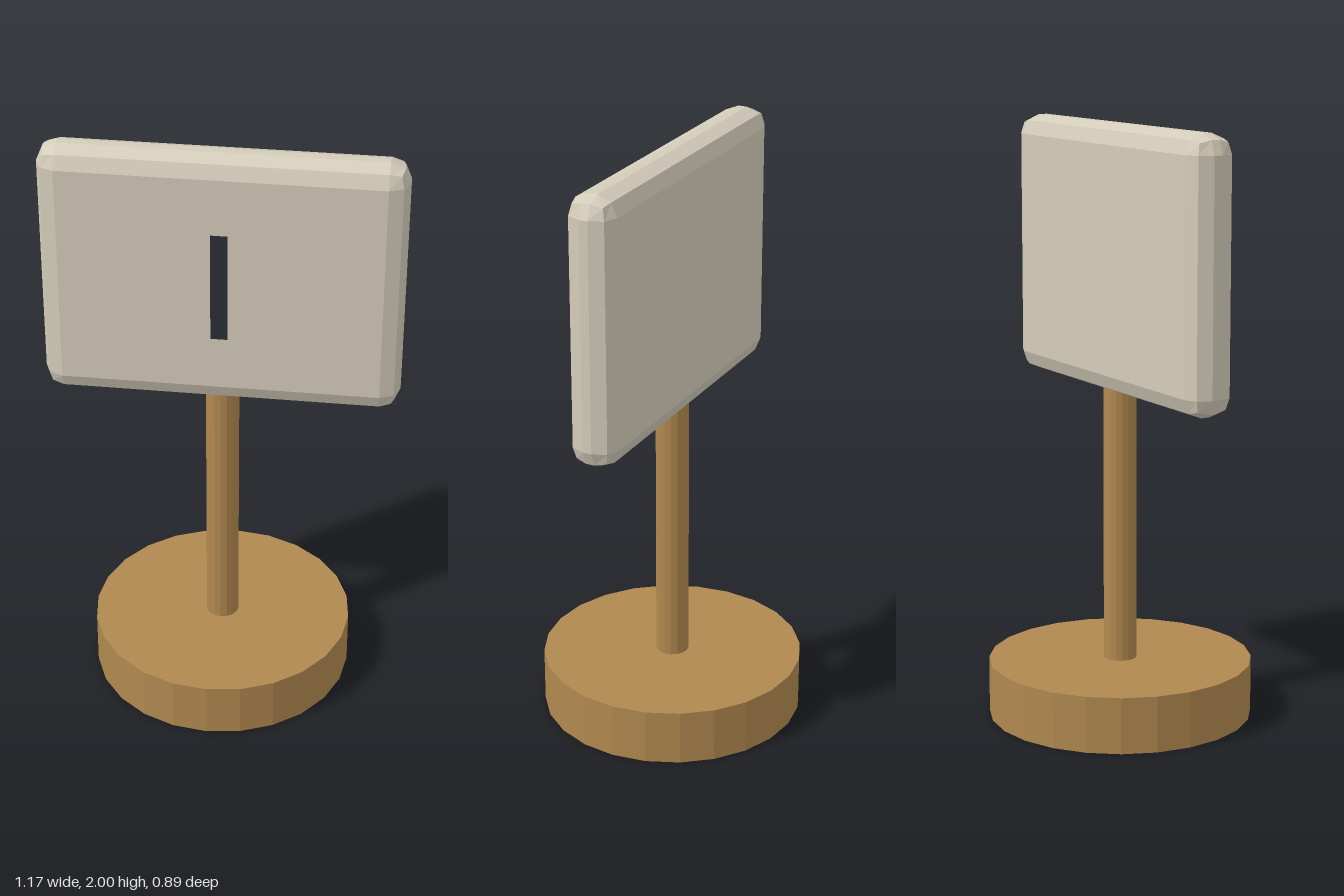
import * as THREE from 'three';
import { RoundedBoxGeometry } from 'three/addons/geometries/RoundedBoxGeometry.js';

const material = (color) => new THREE.MeshStandardMaterial({ color, flatShading: true });

export function createModel() {
  const group = new THREE.Group();
  const wood = material(0xb0884f);
  const cream = material(0xd4ccba);
  const dark = material(0x2a2f36);
  dark.side = THREE.DoubleSide;

  const add = (name, geometry, mat, y, z = 0) => {
    const mesh = new THREE.Mesh(geometry, mat);
    mesh.name = name;
    mesh.position.set(0, y, z);
    group.add(mesh);
  };

  // Round foot and the post, which runs up into the board
  add('base', new THREE.CylinderGeometry(0.447, 0.447, 0.19, 24), wood, 0.095);
  add('post', new THREE.CylinderGeometry(0.056, 0.056, 1.0, 16), wood, 0.68);

  // Sign board with bevelled edges
  add('board', new RoundedBoxGeometry(1.174, 0.888, 0.16, 1, 0.065), cream, 1.556);

  // Thin dark bar floating just in front of the board
  add('marker', new THREE.PlaneGeometry(0.055, 0.38), dark, 1.56, 0.096);

  return group;
}
